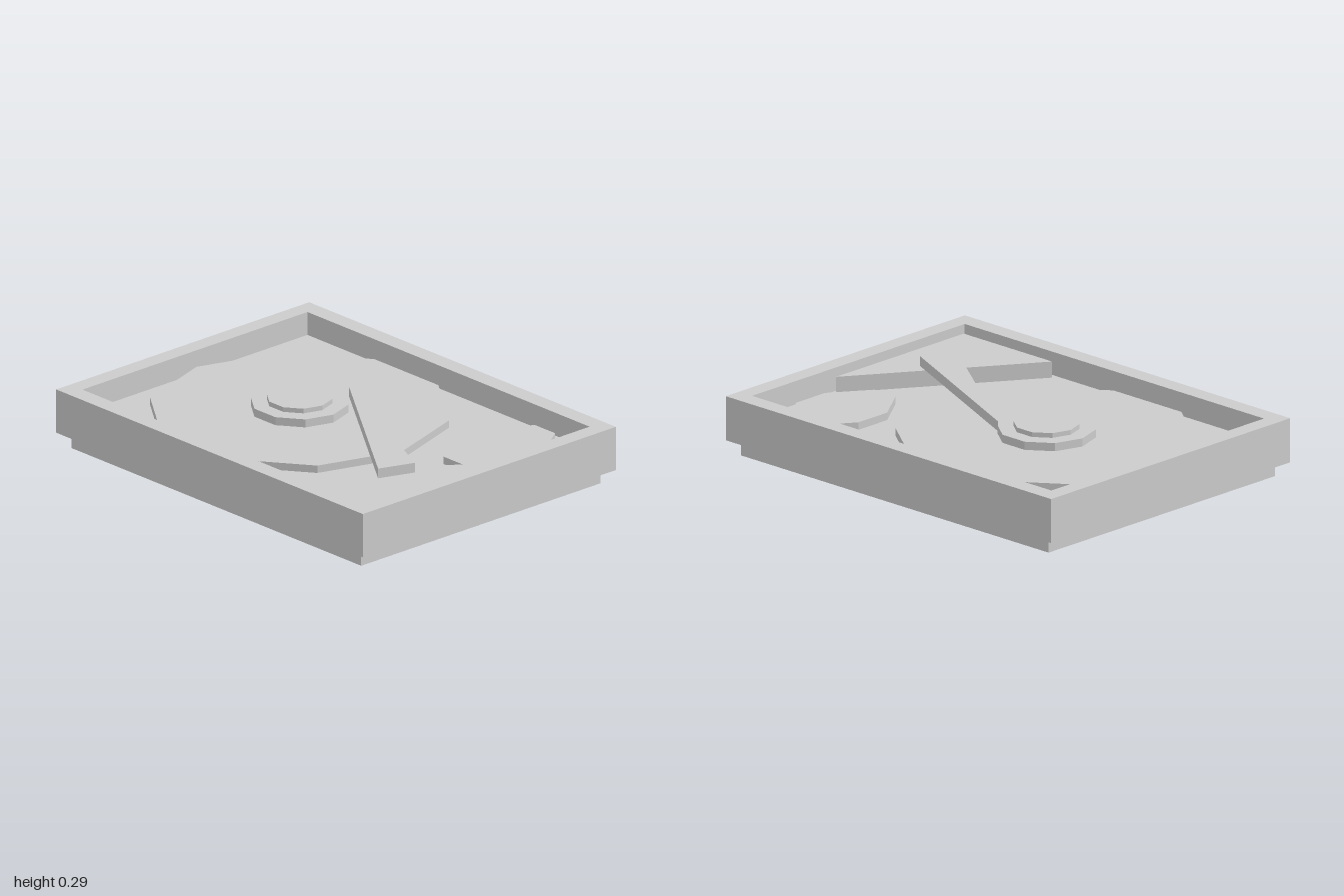
import * as THREE from 'three';

const material = new THREE.MeshStandardMaterial({ color: 0xcccccc, flatShading: true });

// Upright prism from a plan outline of [x, z] points, between two heights
function prism(name, points, bottom, top, hole) {
  const toPath = (list) => list.map(([x, z]) => new THREE.Vector2(x, -z));
  const shape = new THREE.Shape(toPath(points));
  if (hole) shape.holes.push(new THREE.Path(toPath(hole)));
  const geometry = new THREE.ExtrudeGeometry(shape, { depth: top - bottom, bevelEnabled: false });
  geometry.rotateX(-Math.PI / 2).translate(0, bottom, 0);
  const mesh = new THREE.Mesh(geometry, material);
  mesh.name = name;
  return mesh;
}

// Plan outlines
const rectangle = (x, z) => [[-x, z], [x, z], [x, -z], [-x, -z]];
const decagon = (cx, radius) =>
  Array.from({ length: 10 }, (_, i) => {
    const a = (i / 10) * Math.PI * 2;
    return [cx + radius * Math.cos(a), -radius * Math.sin(a)];
  });
// Rectangle with cut corners: half sizes x, z and half lengths of the flats
const cutRectangle = (cx, cz, x, z, flatX, flatZ) =>
  [[x, flatZ], [x, -flatZ], [flatX, -z], [-flatX, -z], [-x, -flatZ], [-x, flatZ], [-flatX, z], [flatX, z]]
    .map(([px, pz]) => [cx + px, cz + pz]);

export function createModel() {
  const model = new THREE.Group();
  model.name = 'diskDrive';
  const floor = 0.165;
  const spindleX = -0.237;

  model.add(
    // Casing: stepped base, raised rim and recessed floor
    prism('base', rectangle(0.945, 0.719), 0, 0.066),
    prism('lip', rectangle(0.965, 0.737), 0.064, 0.069),
    prism('rim', rectangle(1, 0.76), 0.068, 0.274, rectangle(0.92, 0.676)),
    prism('floor', rectangle(0.92, 0.676), 0.068, floor),

    // Platter with its stepped hub
    prism('platter', decagon(spindleX, 0.674), floor, 0.2),
    prism('hubRing', decagon(spindleX, 0.22), 0.2, 0.238),
    prism('hubCap', decagon(spindleX, 0.148), 0.238, 0.26),

    // Corner block carrying the tapered arm
    prism('cornerBlock', [[0.9, -0.163], [0.9, 0.65], [0.357, 0.65]], floor, 0.24),
    prism('arm', [[-0.123, -0.192], [0.733, 0.2], [0.673, 0.367]], 0.24, 0.286),

    // Oval pad in the back corner
    prism('ovalPad', cutRectangle(0.673, -0.361, 0.191, 0.275, 0.065, 0.092), floor, 0.2),
  );
  return model;
}
